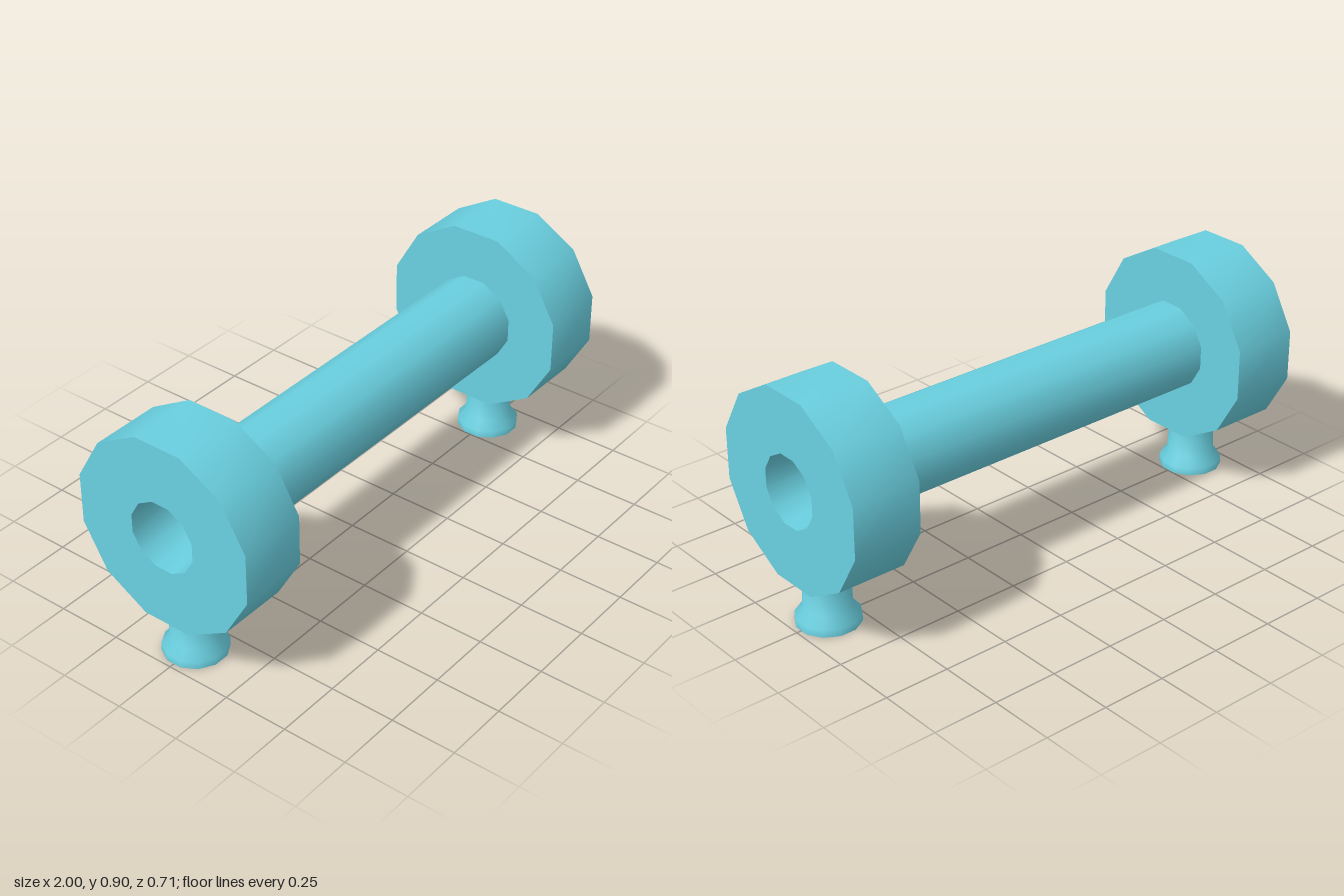
import * as THREE from 'three';
import { toCreasedNormals } from 'three/addons/utils/BufferGeometryUtils.js';

const SIDES = 12;
const AXIS_Y = 0.546;

// Twelve-sided turned shape with flats facing the main axes
function turned(profile, crease) {
  const points = profile.map(([r, y]) => new THREE.Vector2(r, y));
  const geometry = new THREE.LatheGeometry(points, SIDES, Math.PI / SIDES);
  return toCreasedNormals(geometry, crease);
}

export function createModel() {
  const model = new THREE.Group();
  const material = new THREE.MeshStandardMaterial({ color: 0x6ad0e0 });
  const openMaterial = material.clone();
  openMaterial.side = THREE.DoubleSide;

  const add = (name, geometry, mat, parent) => {
    const mesh = new THREE.Mesh(geometry, mat);
    mesh.name = name;
    parent.add(mesh);
    return mesh;
  };

  // Central bar along x
  const barGeometry = new THREE.CylinderGeometry(0.168, 0.168, 1.47, SIDES, 1, true, Math.PI / SIDES);
  barGeometry.rotateZ(-Math.PI / 2);
  add('bar', barGeometry, material, model).position.y = AXIS_Y;

  // End drum with a slightly tapered blind bore in its outer face
  const drumGeometry = turned([
    [0, 0], [0.37, 0], [0.37, 0.265], [0.135, 0.265], [0.121, 0.01], [0, 0.01],
  ], 0.9);
  drumGeometry.rotateZ(-Math.PI / 2);

  // Hollow flared foot, open underneath
  const footGeometry = turned([
    [0.118, 0], [0.118, 0.028], [0.089, 0.062], [0.083, 0.195],
  ], 0.9);

  // Both ends are the same assembly turned half way round
  for (const side of [1, -1]) {
    const end = new THREE.Group();
    end.name = side > 0 ? 'leftEnd' : 'rightEnd';
    if (side < 0) end.rotation.y = Math.PI;
    add('drum', drumGeometry, material, end).position.set(0.735, AXIS_Y, 0);
    add('foot', footGeometry, openMaterial, end).position.x = 0.867;
    model.add(end);
  }
  return model;
}
